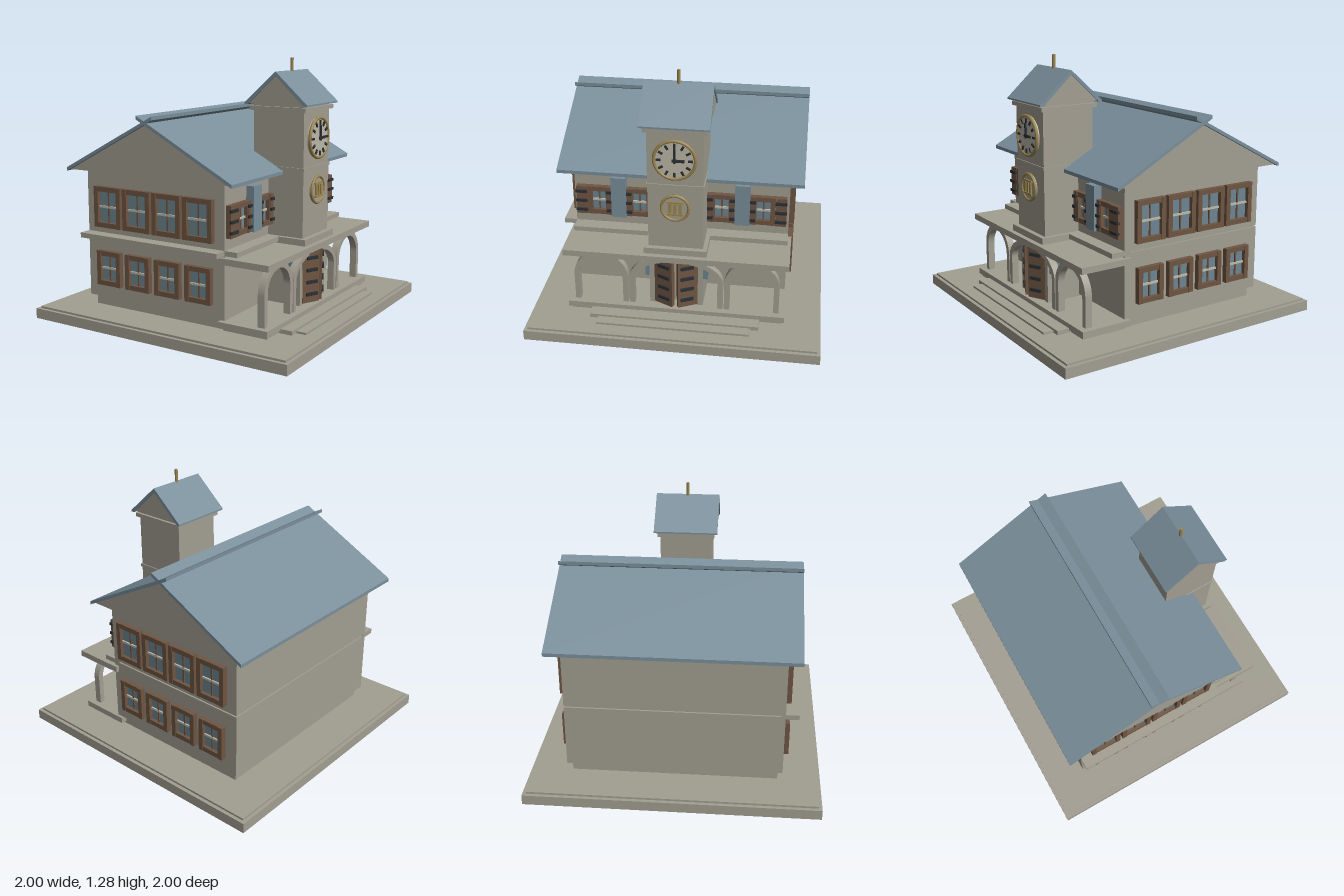
import * as THREE from 'three';

const mat = (name, color, side = THREE.FrontSide) => {
  const m = new THREE.MeshStandardMaterial({ color, side });
  m.name = name;
  return m;
};

export function createModel() {
  const stone = mat('stone', 0xa29e91);
  const slate = mat('slate blue', 0x7a8f9b);
  const wood = mat('brown wood', 0x6f5643);
  const glass = mat('window glass', 0x6c8591);
  const iron = mat('dark iron', 0x2c3034);
  const brass = mat('brass', 0x9c8650);
  const pale = mat('pale trim', 0xbdb8a8);

  const model = new THREE.Group();
  model.name = 'townHall';
  // The hall sits diagonally on the axes; inside it, +z is the entrance side.
  const hall = new THREE.Group();
  hall.name = 'hall';
  hall.rotation.y = Math.PI / 4;
  model.add(hall);

  const add = (name, geometry, material, parent = hall) => {
    const m = new THREE.Mesh(geometry, material);
    m.name = name;
    parent.add(m);
    return m;
  };
  // Box given by its limits along each axis
  const block = (name, material, x0, x1, y0, y1, z0, z1, parent = hall) => {
    const m = add(name, new THREE.BoxGeometry(x1 - x0, y1 - y0, z1 - z0), material, parent);
    m.position.set((x0 + x1) / 2, (y0 + y1) / 2, (z0 + z1) / 2);
    return m;
  };
  const poly = (pts) => new THREE.Shape(pts.map(([a, b]) => new THREE.Vector2(a, b)));
  // Cross-section in (z, y) swept along x over a centred length
  const sweepX = (name, material, pts, length, z) => {
    const g = new THREE.ExtrudeGeometry(poly(pts), { depth: length, bevelEnabled: false });
    g.translate(0, 0, -length / 2).rotateY(-Math.PI / 2);
    add(name, g, material).position.z = z;
  };
  const group = (name, x, y, z, ry = 0, parent = hall) => {
    const g = new THREE.Group();
    g.name = name;
    g.position.set(x, y, z);
    g.rotation.y = ry;
    parent.add(g);
    return g;
  };

  // Ground slabs, porch floor and steps
  block('base', stone, -0.707, 0.707, 0, 0.05, -0.707, 0.707);
  block('paving', stone, -0.69, 0.69, 0.05, 0.06, -0.69, 0.69);
  block('porchFloor', stone, -0.53, 0.53, 0.072, 0.102, 0.25, 0.51);
  block('porchFooting', stone, -0.515, 0.515, 0.06, 0.072, 0.27, 0.5);
  block('upperStep', stone, -0.41, 0.41, 0.06, 0.08, 0.5, 0.57);
  block('lowerStep', stone, -0.37, 0.37, 0.06, 0.07, 0.57, 0.62);

  // Two storeys and their string courses
  block('plinth', stone, -0.5, 0.5, 0.06, 0.11, -0.485, 0.26);
  block('lowerWalls', stone, -0.523, 0.523, 0.11, 0.425, -0.509, 0.283);
  block('upperWalls', stone, -0.523, 0.523, 0.432, 0.75, -0.509, 0.283);
  block('floorJoint', stone, -0.515, 0.515, 0.42, 0.436, -0.5, 0.275);
  block('sideStringCourse', stone, -0.587, -0.5, 0.412, 0.436, -0.509, 0.283);
  block('frontStringCourse', stone, -0.523, 0.523, 0.412, 0.436, 0.25, 0.35);

  // Main roof: gable infill and two slopes that cross at the ridge
  sweepX('gables', stone, [[-0.462, 0.742], [0.462, 0.742], [0, 0.984]], 1.14, -0.112);
  for (const s of [1, -1]) {
    const pts = [[0.474, 0.735], [0.474, 0.752], [-0.045, 1.025], [-0.045, 1.008]];
    sweepX('roofSlope', slate, pts.map(([a, b]) => [a * s, b]), 1.174, -0.112);
  }

  // Tower
  block('towerBase', stone, -0.13, 0.13, 0.1, 0.41, 0.2, 0.43);
  block('towerFoot', stone, -0.15, 0.15, 0.405, 0.436, 0.2, 0.495);
  block('towerShaft', stone, -0.13, 0.13, 0.43, 0.76, 0.2, 0.47);
  block('towerBelt', stone, -0.135, 0.135, 0.757, 0.772, 0.195, 0.475);
  block('towerHead', stone, -0.13, 0.13, 0.77, 1.07, 0.2, 0.47);
  block('towerCornice', stone, -0.145, 0.145, 1.035, 1.055, 0.185, 0.485);
  sweepX('towerGables', stone, [[-0.158, 1.068], [0.158, 1.068], [0, 1.208]], 0.312, 0.333);
  sweepX('towerRoof', slate,
    [[-0.167, 1.062], [-0.15, 1.062], [0, 1.2], [0.15, 1.062], [0.167, 1.062], [0.167, 1.07], [0, 1.22], [-0.167, 1.07]],
    0.322, 0.333);
  add('finial', new THREE.CylinderGeometry(0.008, 0.008, 0.08, 12), brass).position.set(0, 1.24, 0.333);

  // Clock
  const disc = (name, r, d, material, parent, z) => {
    const g = new THREE.CylinderGeometry(r, r, d, 40).rotateX(Math.PI / 2);
    add(name, g, material, parent).position.z = z;
  };
  const clock = group('clock', 0, 0.905, 0.47);
  disc('clockFace', 0.096, 0.016, pale, clock, 0.008);
  add('clockRim', new THREE.TorusGeometry(0.095, 0.008, 8, 40), brass, clock).position.z = 0.014;
  for (let i = 0; i < 12; i++) {
    const a = i * Math.PI / 6;
    const mark = block('hourMark', iron, -0.005, 0.005, -0.011, 0.011, 0.016, 0.022, clock);
    mark.position.x = Math.sin(a) * 0.073;
    mark.position.y = Math.cos(a) * 0.073;
    mark.rotation.z = -a;
  }
  block('minuteHand', iron, -0.005, 0.005, -0.012, 0.06, 0.018, 0.026, clock);
  block('hourHand', iron, -0.012, 0.045, -0.006, 0.006, 0.018, 0.026, clock);

  // Round plaque with little bars below the clock
  const plaque = group('plaque', 0, 0.655, 0.47);
  disc('plaqueFace', 0.066, 0.012, stone, plaque, 0.006);
  add('plaqueRim', new THREE.TorusGeometry(0.064, 0.007, 8, 36), brass, plaque).position.z = 0.011;
  for (const x of [-0.024, 0, 0.024]) block('plaqueBar', brass, x - 0.007, x + 0.007, -0.025, 0.025, 0.01, 0.02, plaque);
  block('plaqueTop', brass, -0.038, 0.038, 0.027, 0.036, 0.01, 0.02, plaque);
  block('plaqueFoot', brass, -0.038, 0.038, -0.036, -0.027, 0.01, 0.02, plaque);

  // Framed window facing the local +z, centred on the group
  const windowUnit = (x, y, z, ry, w, h) => {
    const g = group('window', x, y, z, ry);
    const a = w / 2, b = h / 2, t = 0.024;
    for (const s of [-1, 1]) {
      block('frameSide', wood, s * (a - t / 2) - t / 2, s * (a - t / 2) + t / 2, -b, b, -0.01, 0.026, g);
      block('frameRail', wood, -a + t, a - t, s * (b - t / 2) - t / 2, s * (b - t / 2) + t / 2, -0.01, 0.024, g);
    }
    block('pane', glass, -a + t, a - t, -b + t, b - t, -0.01, 0.006, g);
    block('mullion', wood, -0.004, 0.004, -b + t, b - t, 0.004, 0.012, g);
    block('glazingBar', pale, -a + t, a - t, -0.005, 0.005, 0.004, 0.014, g);
  };
  for (const s of [-1, 1]) {
    // Gable windows, four to each floor
    for (let i = 0; i < 4; i++) {
      const z = -0.111 + (i - 1.5) * 0.174;
      windowUnit(s * 0.523, 0.566, z, s * Math.PI / 2, 0.16, 0.2);
      windowUnit(s * 0.523, 0.262, z, s * Math.PI / 2, 0.142, 0.172);
    }
    // Shuttered front windows around a tall slate panel
    for (const x of [0.2, 0.4]) {
      windowUnit(s * x, 0.566, 0.283, 0, 0.115, 0.15);
    }
    for (const x of [0.13, 0.265, 0.335, 0.485]) {
      const leaf = group('shutter', s * x, 0.566, 0.283);
      block('shutterLeaf', wood, -0.026, 0.026, -0.075, 0.075, 0, 0.028, leaf);
      for (const y of [-0.05, 0, 0.05]) block('shutterStrap', iron, -0.028, 0.028, y - 0.007, y + 0.007, 0.02, 0.036, leaf);
    }
    block('slatePanel', slate, s * 0.3 - 0.036, s * 0.3 + 0.036, 0.49, 0.705, 0.28, 0.325);
    // Side lights by the entrance
    block('sideLight', glass, s * 0.14 - 0.012, s * 0.14 + 0.012, 0.25, 0.37, 0.395, 0.45);
  }

  // Porch roof and arcade
  block('porchRoof', stone, -0.54, 0.54, 0.375, 0.405, 0.257, 0.52);
  const arch = (x0, x1) => {
    const t = 0.026, base = 0.1, top = 0.376, r = (x1 - x0) / 2, c = (x0 + x1) / 2;
    const rise = Math.min(r, 0.13), spring = top - rise;
    const s = new THREE.Shape();
    s.moveTo(x0, base).lineTo(x0 + t, base).lineTo(x0 + t, spring);
    s.absellipse(c, spring, r - t, rise - t, Math.PI, 0, true);
    s.lineTo(x1 - t, base).lineTo(x1, base).lineTo(x1, spring);
    s.absellipse(c, spring, r, rise, 0, Math.PI, false);
    s.lineTo(x0, base);
    const g = new THREE.ExtrudeGeometry(s, { depth: 0.035, bevelEnabled: false, curveSegments: 20 });
    add('porchArch', g, stone).position.z = 0.443;
  };
  arch(-0.5, -0.235);
  arch(-0.228, 0.228);
  arch(0.235, 0.5);

  // Entrance: posts and two leaves standing slightly open
  for (const s of [-1, 1]) {
    block('doorPost', stone, s * 0.115 - 0.015, s * 0.115 + 0.015, 0.1, 0.376, 0.425, 0.46);
    const leaf = group('doorLeaf', s * 0.1, 0, 0.45, s * 0.45);
    const far = -s * 0.1;
    block('doorBoard', wood, Math.min(0, far), Math.max(0, far), 0.108, 0.368, -0.01, 0.012, leaf);
    for (const y of [0.15, 0.21, 0.27, 0.33]) {
      block('doorStrap', iron, far * 0.55 - 0.032, far * 0.55 + 0.032, y - 0.008, y + 0.008, 0.01, 0.02, leaf);
    }
  }
  return model;
}
